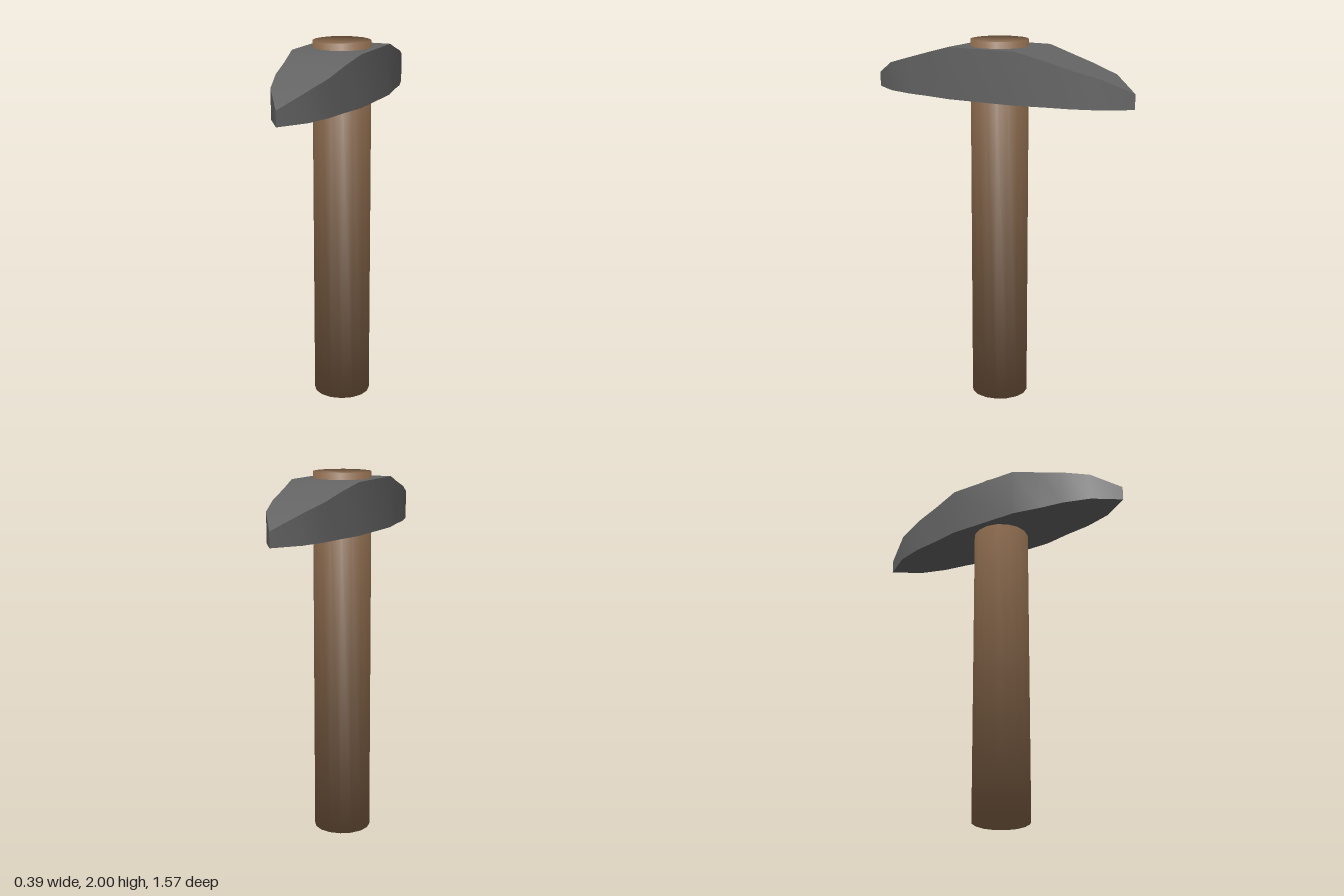
import * as THREE from 'three';
import { toCreasedNormals } from 'three/addons/utils/BufferGeometryUtils.js';

// Round shaft with soft-shaded rims: normals on both rings lean out and away from the middle
function shaftGeometry(radius, height, sides) {
  const pos = [], nor = [], idx = [];
  for (let i = 0; i < sides; i++) {
    const a = (i / sides) * Math.PI * 2, c = Math.cos(a), s = Math.sin(a);
    pos.push(c * radius, 0, s * radius, c * radius, height, s * radius);
    nor.push(c * 0.75, -0.66, s * 0.75, c * 0.75, 0.66, s * 0.75);
    const b0 = i * 2, b1 = ((i + 1) % sides) * 2;
    idx.push(b0, b0 + 1, b1 + 1, b0, b1 + 1, b1);
    // end caps as fans from the first rim point
    if (i > 0 && i < sides - 1) idx.push(0, b0, b1, 1, b1 + 1, b0 + 1);
  }
  const g = new THREE.BufferGeometry();
  g.setAttribute('position', new THREE.Float32BufferAttribute(pos, 3));
  g.setAttribute('normal', new THREE.Float32BufferAttribute(nor, 3));
  g.setIndex(idx);
  return g;
}

// Double-pointed head lofted through rectangular sections along z
function headGeometry() {
  const bottom = 1.69;
  // [z, half width, top height] from the middle out to the point
  const half = [
    [0.2, 0.195, 1.965],
    [0.35, 0.165, 1.925],
    [0.49, 0.145, 1.886],
    [0.637, 0.1, 1.845],
    [0.783, 0, 1.77],
  ];
  const sections = [...half.map(([z, w, t]) => [-z, w, t]).reverse(), ...half];
  const rings = sections.map(([z, w, t]) =>
    [[w, bottom], [w, t], [-w, t], [-w, bottom]].map(([x, y]) => new THREE.Vector3(x, y, z)));

  const points = [];
  const addTriangle = (a, b, c) => {
    if (new THREE.Triangle(a, b, c).getArea() > 1e-7) points.push(a, b, c);
  };
  for (let i = 0; i < rings.length - 1; i++) {
    for (let j = 0; j < 4; j++) {
      const k = (j + 1) % 4;
      const a = rings[i][j], b = rings[i][k], c = rings[i + 1][k], d = rings[i + 1][j];
      addTriangle(a, b, c);
      addTriangle(a, c, d);
    }
  }
  const g = new THREE.BufferGeometry().setFromPoints(points);
  return toCreasedNormals(g, THREE.MathUtils.degToRad(30));
}

export function createModel() {
  const group = new THREE.Group();
  group.name = 'pickHammer';

  const handle = new THREE.Mesh(
    shaftGeometry(0.156, 2, 16),
    new THREE.MeshStandardMaterial({ color: 0x86664a }));
  handle.name = 'handle';

  const head = new THREE.Mesh(
    headGeometry(),
    new THREE.MeshStandardMaterial({ color: 0x646464 }));
  head.name = 'head';

  group.add(handle, head);
  return group;
}
